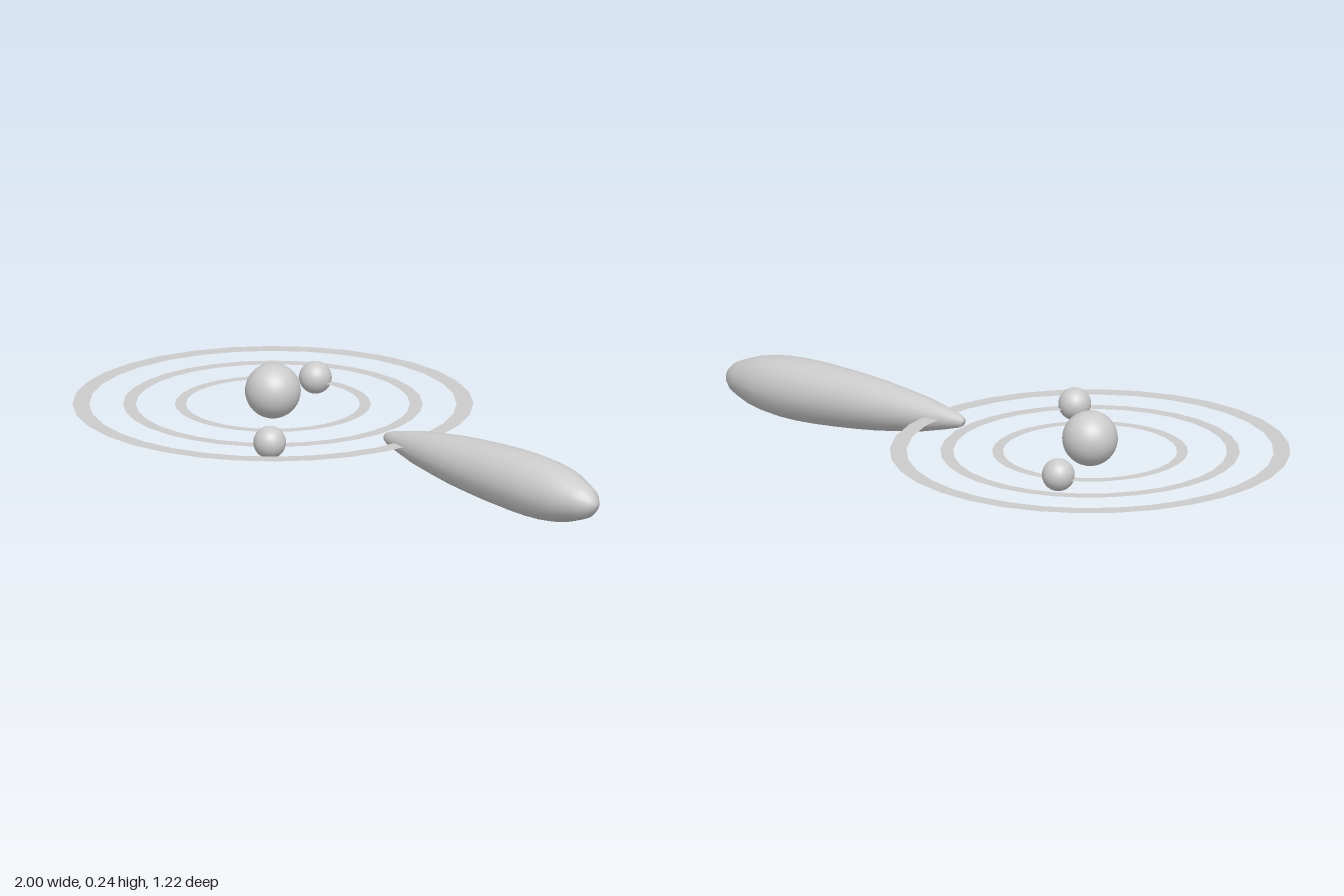
import * as THREE from 'three';

const material = new THREE.MeshStandardMaterial({ color: 0xcccccc });
const ringMaterial = new THREE.MeshStandardMaterial({ color: 0xcccccc, side: THREE.DoubleSide });

const CENTRE_X = -0.39;
const RING_Y = 0.118;

function add(parent, name, geometry, mat, x = 0, y = 0, z = 0) {
  const mesh = new THREE.Mesh(geometry, mat);
  mesh.name = name;
  mesh.position.set(x, y, z);
  parent.add(mesh);
  return mesh;
}

// Tapered body lying along x, its axis drifting slightly down and forward
function bodyGeometry() {
  const profile = [
    [0.094, 0], [0.097, 0.013], [0.112, 0.021], [0.16, 0.034], [0.24, 0.053],
    [0.33, 0.067], [0.41, 0.078], [0.49, 0.0855], [0.57, 0.0915], [0.65, 0.0955],
    [0.72, 0.0965], [0.78, 0.094], [0.84, 0.087], [0.89, 0.076], [0.936, 0.059],
    [0.966, 0.046], [0.987, 0.027], [0.997, 0.012], [1, 0],
  ].map(([along, radius]) => new THREE.Vector2(radius, along));
  const geometry = new THREE.LatheGeometry(profile, 20);
  geometry.rotateZ(-Math.PI / 2);
  const shear = new THREE.Matrix4().set(
    1, 0, 0, 0,
    -0.031, 1, 0, 0.119,
    0.011, 0, 1, 0.003,
    0, 0, 0, 1,
  );
  return geometry.applyMatrix4(shear);
}

export function createModel() {
  const model = new THREE.Group();
  model.name = 'orbitModel';

  // Flat concentric orbit rings
  const rings = new THREE.Group();
  rings.name = 'orbitRings';
  model.add(rings);
  [['innerRing', 0.265, 0.298], ['middleRing', 0.417, 0.456], ['outerRing', 0.559, 0.61]]
    .forEach(([name, inner, outer]) => {
      const geometry = new THREE.RingGeometry(inner, outer, 32).rotateX(-Math.PI / 2);
      add(rings, name, geometry, ringMaterial, CENTRE_X, RING_Y, 0);
    });

  // Central ball and the two balls riding the rings
  const ball = (radius) => new THREE.SphereGeometry(radius, 32, 20);
  add(model, 'centralBall', ball(0.085), material, CENTRE_X, 0.16, 0);
  add(model, 'innerOrbitBall', ball(0.05), material, -0.47, 0.128, -0.267);
  add(model, 'middleOrbitBall', ball(0.05), material, -0.09, 0.128, 0.321);

  add(model, 'taperedBody', bodyGeometry(), material);

  return model;
}
